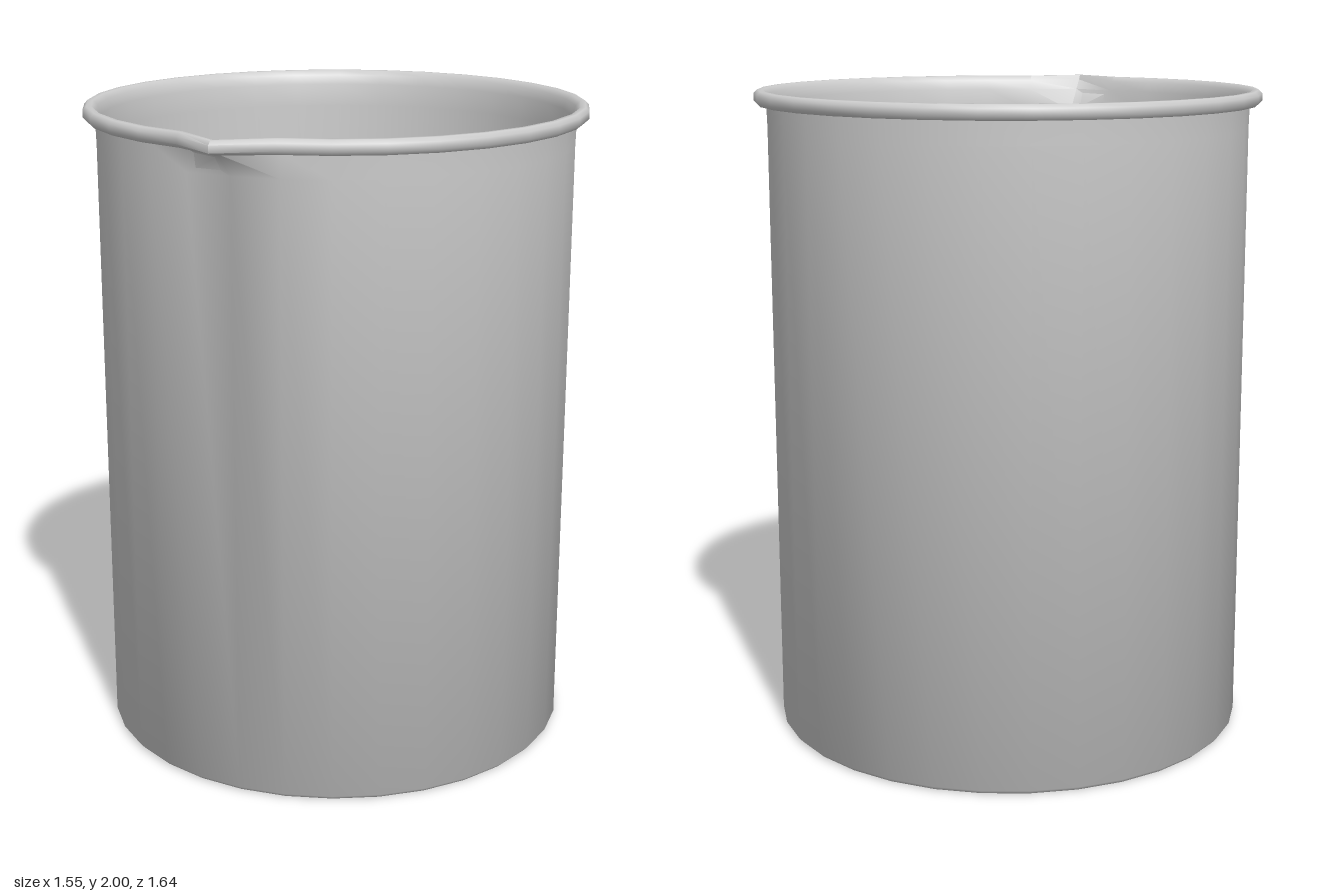
import * as THREE from 'three';
import { mergeVertices, toCreasedNormals } from 'three/addons/utils/BufferGeometryUtils.js';

const SIDES = 32;

// Closed wall section: outer base, outer wall, rolled rim, inner wall, inner floor
const PROFILE = [
  [0, 0], [0.725, 0], [0.736, 0.012], [0.736, 1.885], [0.738, 1.955],
  [0.764, 1.956], [0.775, 1.967], [0.775, 1.989], [0.764, 2], [0.748, 2],
  [0.735, 1.985], [0.727, 1.955], [0.722, 1.885], [0.722, 0.02], [0, 0.02],
];

function beakerGeometry() {
  const points = PROFILE.map(([r, y]) => new THREE.Vector2(r, y));
  let geo = new THREE.LatheGeometry(points, SIDES);
  geo.deleteAttribute('uv');
  geo.deleteAttribute('normal');
  geo = mergeVertices(geo, 1e-4);

  // Pull the front column of the rim out into a pointed pouring lip
  const p = geo.attributes.position;
  for (let i = 0; i < p.count; i++) {
    if (Math.abs(p.getX(i)) < 0.01 && p.getZ(i) > 0.5 && p.getY(i) > 1.9) {
      const pull = p.getY(i) < 1.96 ? 0.065 : 0.09;
      p.setZ(i, p.getZ(i) + pull);
    }
  }
  return toCreasedNormals(geo, 0.9);
}

export function createModel() {
  const model = new THREE.Group();
  model.name = 'beaker';

  const wall = new THREE.Mesh(
    beakerGeometry(),
    new THREE.MeshStandardMaterial({ color: 0xcccccc, side: THREE.DoubleSide }),
  );
  wall.name = 'beakerWall';

  // Liquid filling the lower half
  const level = 0.95, floor = 0.025;
  const liquid = new THREE.Mesh(
    new THREE.CylinderGeometry(0.72, 0.72, level - floor, SIDES),
    new THREE.MeshStandardMaterial({ color: 0x2ecc66 }),
  );
  liquid.name = 'liquid';
  liquid.position.y = (level + floor) / 2;

  model.add(wall, liquid);
  // The lip lengthens the front, so the round body sits slightly back
  model.position.z = -0.05;
  const root = new THREE.Group();
  root.add(model);
  return root;
}
